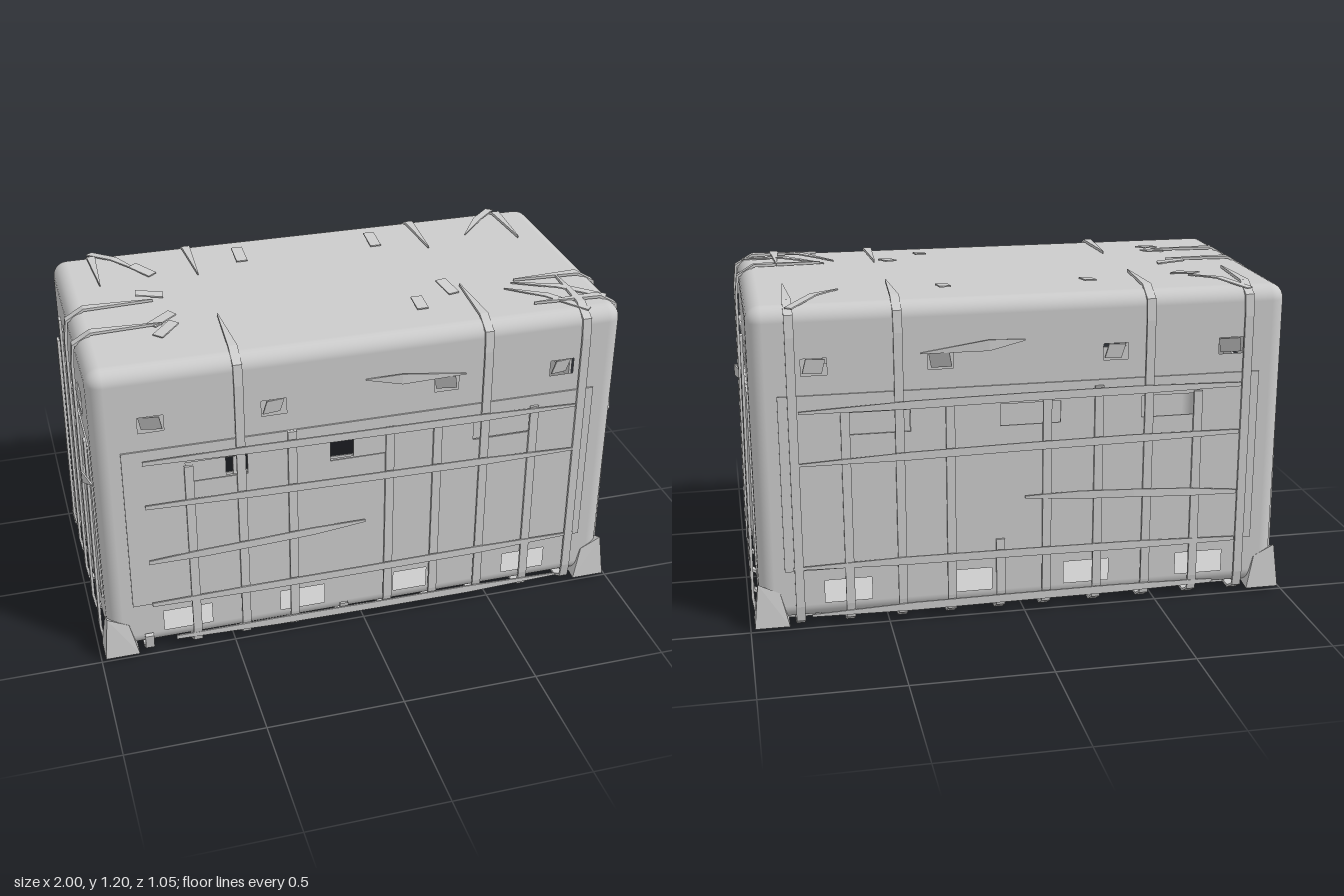
import * as THREE from 'three';
import { RoundedBoxGeometry } from 'three/addons/geometries/RoundedBoxGeometry.js';
import { ConvexGeometry } from 'three/addons/geometries/ConvexGeometry.js';

const HX = 0.965, HZ = 0.485, Y0 = 0.04, Y1 = 1.193, R = 0.055;
const mat = new THREE.MeshStandardMaterial({ color: 0xcccccc, side: THREE.DoubleSide });
const flat = new THREE.MeshStandardMaterial({ color: 0xcccccc, side: THREE.DoubleSide, flatShading: true });

function add(parent, name, geo, material = flat) {
  const m = new THREE.Mesh(geo, material);
  m.name = name;
  parent.add(m);
  return m;
}

// Rounded shell without its four flat upright faces, which the walls replace
function shellGeometry() {
  let g = new RoundedBoxGeometry(HX * 2, Y1 - Y0, HZ * 2, 4, R);
  if (g.index) g = g.toNonIndexed();
  const p = g.attributes.position, n = g.attributes.normal, pos = [], nor = [];
  for (let i = 0; i < p.count; i += 3) {
    const b = new THREE.Box3();
    for (let k = 0; k < 3; k++) b.expandByPoint(new THREE.Vector3().fromBufferAttribute(p, i + k));
    const s = b.getSize(new THREE.Vector3());
    if (s.y > 0.5 && (s.x > 0.5 || s.z > 0.5)) continue;
    for (let k = i; k < i + 3; k++) {
      pos.push(p.getX(k), p.getY(k) + (Y0 + Y1) / 2, p.getZ(k));
      nor.push(n.getX(k), n.getY(k), n.getZ(k));
    }
  }
  const out = new THREE.BufferGeometry();
  out.setAttribute('position', new THREE.Float32BufferAttribute(pos, 3));
  out.setAttribute('normal', new THREE.Float32BufferAttribute(nor, 3));
  return out;
}

function rect(Type, x0, x1, y0, y1) {
  return new Type([[x0, y0], [x1, y0], [x1, y1], [x0, y1]].map(a => new THREE.Vector2(...a)));
}

// One wall: sheet with openings, raised panel, recessed trays and torn flaps
function wall(parent, name, halfW, panelW, openings, windows, trays, flaps) {
  const g = new THREE.Group();
  g.name = name;
  const sheet = rect(THREE.Shape, -halfW, halfW, Y0 + R, Y1 - R);
  const panel = rect(THREE.Shape, -panelW, panelW, 0.23, 0.88);
  const inPanel = [...windows, ...trays];
  for (const o of [...openings, ...inPanel]) sheet.holes.push(rect(THREE.Path, ...o));
  for (const o of inPanel) panel.holes.push(rect(THREE.Path, ...o));
  add(g, 'wallSheet', new THREE.ShapeGeometry(sheet), mat);
  add(g, 'raisedPanel', new THREE.ExtrudeGeometry(panel, { depth: 0.006, bevelEnabled: false }));
  for (const [x0, x1, y0, y1] of trays) {
    add(g, 'recessedWindow', new THREE.BoxGeometry(x1 - x0, y1 - y0, 0.01))
      .position.set((x0 + x1) / 2, (y0 + y1) / 2 - 0.004, -0.012);
  }
  flaps.forEach(([x, y], i) => {
    const f = add(g, 'tornFlap', new THREE.BoxGeometry(0.075, 0.055, 0.004));
    f.position.set(x, y, -0.008);
    f.rotation.set(0.25, i % 2 ? 0.35 : -0.35, i % 2 ? -0.25 : 0.2);
  });
  parent.add(g);
  return g;
}

// Flat band swept along a path; side is the width direction, tips may taper
function band(path, side, width, taper0 = 1, taper1 = 1, thick = 0.01) {
  const pts = path.map(a => new THREE.Vector3(...a)), s = new THREE.Vector3(...side).normalize();
  const pos = [], idx = [], last = pts.length - 1;
  pts.forEach((p, i) => {
    const t = pts[Math.min(i + 1, last)].clone().sub(pts[Math.max(i - 1, 0)]).normalize();
    const n = t.cross(s).normalize();
    const w = width / 2 * (i === 0 ? taper0 : i === last ? taper1 : 1);
    for (const [a, b] of [[-1, -1], [1, -1], [1, 1], [-1, 1]]) {
      pos.push(...p.clone().addScaledVector(s, a * w).addScaledVector(n, b * thick / 2).toArray());
    }
    if (i < last) for (let k = 0; k < 4; k++) {
      const a = i * 4 + k, b = i * 4 + (k + 1) % 4;
      idx.push(a, b, a + 4, b, b + 4, a + 4);
    }
  });
  const e = last * 4;
  idx.push(0, 2, 1, 0, 3, 2, e, e + 1, e + 2, e, e + 2, e + 3);
  const g = new THREE.BufferGeometry();
  g.setAttribute('position', new THREE.Float32BufferAttribute(pos, 3));
  g.setIndex(idx);
  return g.toNonIndexed();
}

// Half of a wrapped strap as [outward, y], from its top end down to the floor
function halfStrap(top, half) {
  const base = [[half + 0.02, 0.1], [half + 0.012, 0.045], [half - 0.035, 0.016]];
  if (top < 1.1) return [[half + 0.012, top], ...base];
  return [[half - 0.31, 1.203], [half - 0.06, 1.203], [half + 0.004, 1.165], [half + 0.012, 1.09], ...base];
}

export function createModel() {
  const model = new THREE.Group();
  model.name = 'crate';
  add(model, 'roundedShell', shellGeometry(), mat);

  // Long walls
  const slots = [[-0.76, -0.58, 0.1, 0.185], [-0.32, -0.15, 0.1, 0.185], [0.12, 0.25, 0.1, 0.185], [0.56, 0.73, 0.1, 0.185]];
  const vents = [-0.76, -0.33, 0.3, 0.74].map(x => [x - 0.045, x + 0.045, 0.95, 1.01]);
  const windows = [[-0.65, -0.43, 0.73, 0.81], [-0.13, 0.09, 0.73, 0.81]];
  const tray = [[0.41, 0.64, 0.73, 0.81]];
  const mirror = list => list.map(([a, b, c, d]) => [-b, -a, c, d]);
  const flaps = vents.map(v => [(v[0] + v[1]) / 2, 0.98]);
  wall(model, 'frontWall', HX - R, 0.87, [...slots, ...vents], windows, tray, flaps).position.z = HZ;
  const back = wall(model, 'backWall', HX - R, 0.87, mirror([...slots, ...vents]), mirror(windows), mirror(tray),
    flaps.map(([x, y]) => [-x, y]));
  back.position.z = -HZ;
  back.rotation.y = Math.PI;

  // End walls
  for (const s of [1, -1]) {
    const end = wall(model, s > 0 ? 'leftWall' : 'rightWall', HZ - R, 0.405,
      [[-0.28, -0.2, 0.92, 1.015], [0.18, 0.27, 0.92, 1.015]], [], [[-0.12, 0.1, 0.715, 0.815]], [[-0.24, 0.975], [0.23, 0.97]]);
    end.position.x = s * HX;
    end.rotation.y = s * Math.PI / 2;
  }

  // Flared corner feet
  for (const sx of [1, -1]) for (const sz of [1, -1]) {
    const pts = [[0.985, 0.025, 0.505], [0.985, 0.025, 0.4], [0.86, 0.025, 0.505], [0.968, 0.19, 0.489],
      [0.968, 0.15, 0.41], [0.89, 0.15, 0.489], [0.86, 0.04, 0.4]];
    add(model, 'cornerFoot', new ConvexGeometry(pts.map(p => new THREE.Vector3(p[0] * sx, p[1], p[2] * sz))));
  }

  // Straps around the long walls and under the floor: x, front top, back top
  const cross = [[-0.82, 0.1, 1.2], [-0.64, 0.8, 0.82], [-0.455, 1.2, 1.2], [-0.27, 0.88, 0.86], [-0.08, 0.06, 0.84],
    [0.09, 0.84, 0.3], [0.27, 0.83, 0.84], [0.45, 1.2, 1.2], [0.64, 0.84, 0.82], [0.82, 1.2, 1.2]];
  for (const [x, f, b] of cross) {
    const path = [...halfStrap(f, HZ).map(([z, y]) => [x, y, z]),
      ...halfStrap(b, HZ).reverse().map(([z, y]) => [x, y, -z])];
    add(model, 'crossStrap', band(path, [1, 0, 0], 0.032, f > 1 ? 0.1 : 1, b > 1 ? 0.1 : 1));
  }

  // Straps around the end walls: z, left top, right top
  for (const [z, l, r] of [[-0.38, 1.08, 0.9], [-0.19, 0.9, 1.08], [0, 0.44, 1.2], [0.19, 1.2, 1.2], [0.39, 1.2, 0.9]]) {
    const path = [...halfStrap(l, HX).map(([x, y]) => [x, y, z]),
      ...halfStrap(r, HX).reverse().map(([x, y]) => [-x, y, z])];
    add(model, 'lengthStrap', band(path, [0, 0, 1], 0.032, l > 1.1 || l < 0.5 ? 0.1 : 1, r > 1.1 ? 0.1 : 1));
  }

  // Bulging horizontal bands on the long walls: y, start x, end x, tilt
  for (const s of [1, -1]) {
    for (const [y, x0, x1, tilt] of [[0.83, -0.8, 0.8, -0.015], [0.645, -0.8, 0.82, -0.025], [0.44, -0.8, 0, 0.035],
      [0.24, -0.8, 0.84, 0.01], [0.065, -0.72, 0.78, -0.01]]) {
      const path = [0, 0.25, 0.5, 0.75, 1].map(t => {
        const bulge = Math.sin(Math.PI * t);
        return [x0 + (x1 - x0) * t, y + tilt * (t - 0.5) + 0.012 * bulge, s * (0.502 + 0.02 * bulge)];
      });
      add(model, 'horizontalBand', band(path, [0, 1, 0], 0.03, 0.5, 0.3, 0.006));
    }
    // Loose splinter on each long wall
    add(model, 'wallSplinter', band([[0.0, 1.04, s * 0.488], [0.13, 1.03, s * 0.5], [0.37, 1.01, s * 0.488]], [0, 1, 0], 0.04, 0.1, 0.1, 0.005));
    // Leaf-shaped splinter on each end wall
    add(model, 'endSplinter', band([[s * 0.97, 0.745, 0.44], [s * 0.995, 0.745, 0.38], [s * 0.975, 0.74, 0.31]], [0, 1, 0], 0.045, 0.1, 0.8, 0.006));
  }

  // Tapered splinters at the roof corners: outer x, z to tip x, z
  for (const [x0, z0, x1, z1] of [[-0.82, -0.49, -0.66, -0.27], [0.82, -0.49, 0.63, -0.26], [0.94, 0.38, 0.64, 0.2], [0.84, 0.46, 0.6, 0.24]]) {
    add(model, 'roofSplinter', band([[x0, 1.19, z0], [(x0 + x1) / 2, 1.208, (z0 + z1) / 2], [x1, 1.198, z1]],
      [z0 - z1, 0, x1 - x0], 0.03, 1, 0.1, 0.005));
  }

  // Loose chips lying on the roof: x, z, length, turn
  for (const [x, z, len, turn] of [[-0.65, -0.26, 0.1, 0.7], [-0.27, -0.3, 0.1, 0], [0.26, -0.3, 0.1, 0], [-0.66, -0.05, 0.1, 1.4],
    [-0.65, 0.16, 0.1, -1], [-0.65, 0.24, 0.1, -0.8], [0.26, 0.28, 0.08, 0], [0.4, 0.18, 0.1, 0.2]]) {
    const chip = add(model, 'roofChip', new THREE.BoxGeometry(0.042, 0.005, len));
    chip.position.set(x, 1.205, z);
    chip.rotation.set(0.12, turn, 0, 'YXZ');
  }
  return model;
}
